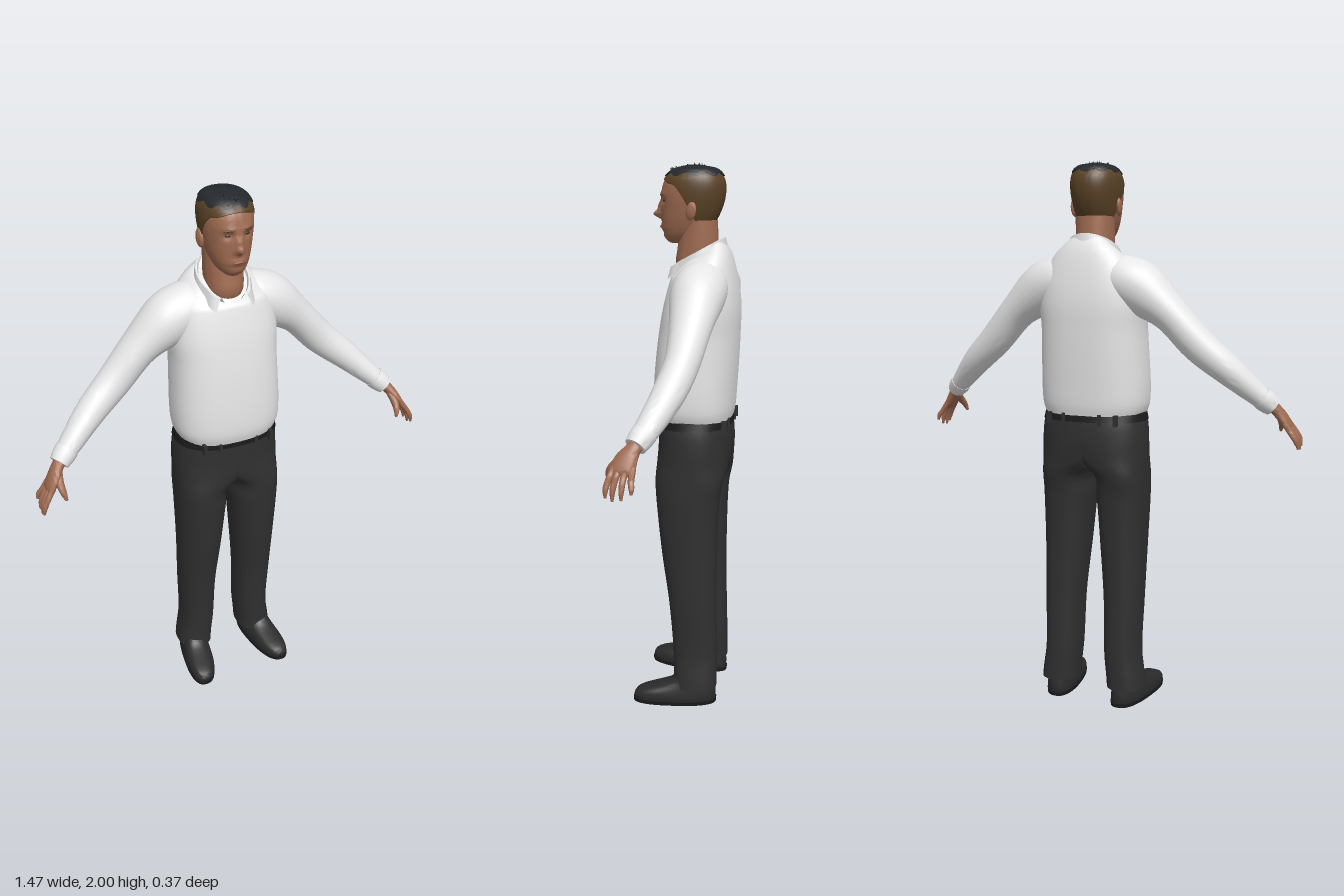
import * as THREE from 'three';
import { toCreasedNormals } from 'three/addons/utils/BufferGeometryUtils.js';

const mat = (name, color, side = THREE.FrontSide) => {
  const m = new THREE.MeshStandardMaterial({ color, side });
  m.name = name;
  return m;
};

// Smooth interpolation of rows of numbers, keyed by their first column
function at(keys, y) {
  let i = 0;
  while (i < keys.length - 2 && y > keys[i + 1][0]) i++;
  const a = keys[i], b = keys[i + 1], p = keys[i - 1] ?? a, n = keys[i + 2] ?? b;
  const h = b[0] - a[0], u = Math.min(1, Math.max(0, (y - a[0]) / h));
  return a.map((v, k) => {
    const m0 = h * (b[k] - p[k]) / (b[0] - p[0]), m1 = h * (n[k] - v) / (n[0] - a[0]);
    const u2 = u * u, u3 = u2 * u;
    return (2 * u3 - 3 * u2 + 1) * v + (u3 - 2 * u2 + u) * m0 + (3 * u2 - 2 * u3) * b[k] + (u3 - u2) * m1;
  });
}

// Skin over rows x cols points given by fn(angle, t); closed lofts get end caps
function skin(rows, cols, fn, closed = true) {
  const pos = [], idx = [];
  const n = closed ? cols : cols + 1;
  for (let i = 0; i <= rows; i++)
    for (let j = 0; j < n; j++) pos.push(...fn((j / cols) * Math.PI * 2, i / rows));
  for (let i = 0; i < rows; i++)
    for (let j = 0; j < cols; j++) {
      const k = (j + 1) % n, a = i * n + j, c = i * n + k;
      idx.push(a, a + n, c, c, a + n, c + n);
    }
  if (closed) for (const row of [0, rows]) {
    const centre = [0, 0, 0], id = pos.length / 3;
    for (let j = 0; j < n; j++) for (let k = 0; k < 3; k++) centre[k] += pos[(row * n + j) * 3 + k] / n;
    pos.push(...centre);
    for (let j = 0; j < n; j++) {
      const a = row * n + j, b = row * n + (j + 1) % n;
      idx.push(id, ...(row ? [b, a] : [a, b]));
    }
  }
  const g = new THREE.BufferGeometry();
  g.setAttribute('position', new THREE.Float32BufferAttribute(pos, 3));
  g.setIndex(idx);
  return g;
}

// Point on a horizontal section: key = [y, centreX, halfWidth, zFront, zBack, tilt]
function section(keys, a, y, power = 2.3) {
  const [h, xc, hw, zf, zb, tilt = 0] = at(keys, y);
  const round = v => Math.sign(v) * Math.abs(v) ** (2 / power);
  const c = Math.cos(a), s = Math.sin(a);
  return [xc + hw * round(c), h - tilt * s, (zf + zb) / 2 + (zf - zb) / 2 * round(s)];
}
function body(keys, rows, power, change = p => p, cols = 40) {
  const y0 = keys[0][0], y1 = keys[keys.length - 1][0];
  return skin(rows, cols, (a, t) => change(section(keys, a, y0 + (y1 - y0) * t, power)));
}

// Tapered limb along points [x, y, z, radius, radius along z]
function limb(points, rows = 24, cols = 20) {
  const keys = points.map((p, i) => [i / (points.length - 1), ...p]);
  const spot = t => new THREE.Vector3(...at(keys, t).slice(1, 4));
  return skin(rows, cols, (a, t) => {
    const [, x, y, z, ru, rv] = at(keys, t);
    const dir = spot(Math.min(1, t + 0.02)).sub(spot(Math.max(0, t - 0.02))).normalize();
    const v = new THREE.Vector3(0, 0, 1).addScaledVector(dir, -dir.z).normalize();
    const u = dir.clone().cross(v);
    return new THREE.Vector3(x, y, z).addScaledVector(u, ru * Math.cos(a)).addScaledVector(v, rv * Math.sin(a)).toArray();
  });
}

function mirrored(g) {
  const m = g.clone().scale(-1, 1, 1), i = m.index.array;
  for (let k = 0; k < i.length; k += 3) [i[k], i[k + 1]] = [i[k + 1], i[k]];
  return m;
}

const blob = (x, y, z, rx, ry, rz) => new THREE.SphereGeometry(1, 16, 12).scale(rx, ry, rz).translate(x, y, z);

export function createModel() {
  const model = new THREE.Group();
  model.name = 'standingMan';
  const knit = mat('white knit', 0xe6e6e6), collarWhite = mat('collar white', 0xdedede, THREE.DoubleSide);
  const cloth = mat('charcoal cloth', 0x303031), leather = mat('shoe leather', 0x2b2b2c);
  const black = mat('black', 0x1b1b1c), skinTone = mat('skin', 0xa06c52);
  const brown = mat('brown hair', 0x5a4226), topHair = mat('dark top hair', 0x24282c);
  const lip = mat('lips', 0x8a5646), eyeDark = mat('eyes', 0x3a2a22);
  const add = (name, g, m, crease = 0.9) => {
    const mesh = new THREE.Mesh(toCreasedNormals(g, crease), m);
    mesh.name = name;
    model.add(mesh);
  };
  const pair = (name, g, m, crease) => {
    add('left' + name, g, m, crease);
    add('right' + name, mirrored(g), m, crease);
  };

  // Sweater body and sleeves
  add('sweater', body([
    [1.095, 0, .183, .112, -.16, 0], [1.13, 0, .196, .121, -.167, 0], [1.2, 0, .2, .122, -.172, 0],
    [1.3, 0, .197, .115, -.178, 0], [1.4, 0, .194, .103, -.182, 0], [1.5, 0, .197, .085, -.183, 0],
    [1.6, 0, .178, .058, -.17, 0], [1.65, 0, .138, .05, -.148, .04], [1.68, 0, .088, .042, -.122, .055],
  ], 40, 2.5), knit);
  pair('Sleeve', limb([
    [.07, 1.59, -.065, .075, .08], [.13, 1.575, -.065, .09, .095], [.2, 1.54, -.063, .093, .093],
    [.3, 1.463, -.062, .066, .073], [.4, 1.357, -.053, .061, .059], [.5, 1.272, -.027, .053, .054],
    [.6, 1.182, .018, .039, .042], [.64, 1.146, .04, .033, .035],
  ], 40, 28), knit);
  pair('Cuff', limb([[.607, 1.176, .022, .04, .043], [.625, 1.16, .032, .04, .041], [.645, 1.142, .043, .034, .036]], 4), knit);

  // Shirt collar folded over, open at the throat, with pointed ends
  add('collar', skin(3, 40, (a, t) => {
    const q = Math.PI / 2 + .35 + a * (1 - .35 / Math.PI), c = Math.cos(q), s = Math.sin(q);
    const out = [0, .35, .6, 1][Math.round(t * 3)], w = Math.max(0, (s - .55) / .4) * out;
    const drop = [.03, 0, 0, .038][Math.round(t * 3)];
    const r = .078 + .024 * out;
    return [r * c + Math.sign(c) * .032 * w, 1.69 - .05 * s - drop - .008 * w, -.033 + (r + .004) * s];
  }, false), collarWhite, .7);

  // Trousers: each half joins the other on the centre line above the crotch
  pair('TrouserLeg', body([
    [.065, .135, .069, .035, -.13], [.1, .132, .068, .032, -.13], [.2, .121, .066, .036, -.13],
    [.4, .12, .071, .052, -.125], [.6, .113, .081, .08, -.125], [.8, .107, .093, .1, -.132],
    [.88, .102, .098, .104, -.147], [.94, .04, .16, .106, -.158], [1, 0, .2, .106, -.165],
    [1.06, 0, .196, .107, -.162], [1.11, 0, .186, .106, -.155],
  ], 50, 2.4, p => [Math.max(0, p[0]), p[1], p[2]]), cloth);
  add('belt', body([[1.075, 0, .196, .111, -.164], [1.102, 0, .19, .11, -.16]], 1, 2.4), black);
  for (const x of [-.13, -.07, .07, .13])
    for (const z of [.098, -.152])
      add('beltLoop', new THREE.BoxGeometry(.012, .04, .02).translate(x, 1.085, z), cloth);

  // Shoes turned slightly outward
  const splay = p => [p[0] + .145 + .12 * p[2] + (p[2] > 0 ? .02 * p[2] : 0), p[1], p[2]];
  pair('Shoe', body([
    [.012, 0, .056, .178, -.125], [.03, 0, .058, .18, -.127], [.05, 0, .055, .16, -.126],
    [.068, 0, .051, .1, -.123], [.085, 0, .048, .05, -.118], [.12, 0, .044, .015, -.112],
  ], 16, 2.5, splay), leather);
  pair('Sole', body([[0, 0, .057, .183, -.129], [.014, 0, .059, .184, -.13]], 1, 2.5, splay), black);

  // Hands: palm, four fingers and a thumb
  pair('Palm', limb([
    [.632, 1.155, .036, .022, .025], [.655, 1.132, .05, .02, .027], [.675, 1.105, .065, .018, .038],
    [.694, 1.075, .075, .014, .04], [.7, 1.062, .077, .008, .034],
  ], 16), skinTone);
  [[.106, .118, .998], [.086, .096, .988], [.065, .068, .992], [.045, .036, 1.012]].forEach(([z0, z1, y], i) =>
    pair('Finger' + (i + 1), limb([
      [.688, 1.085, z0 - .004, .011, .011], [.713, 1.05, (z0 + z1) / 2, .01, .01],
      [.727, (1.05 + y) / 2, z1, .009, .009], [.732, y, z1, .004, .004],
    ], 10, 10), skinTone));
  pair('Thumb', limb([
    [.655, 1.125, .06, .014, .014], [.662, 1.095, .096, .014, .015], [.659, 1.07, .122, .011, .011], [.653, 1.045, .133, .005, .005],
  ], 10, 10), skinTone);

  // Neck and head, with nose, brow and eye sockets pushed out of the surface
  add('neck', body([
    [1.6, 0, .06, .03, -.1], [1.65, 0, .066, .048, -.105], [1.7, 0, .068, .042, -.105], [1.8, 0, .07, .03, -.1],
  ], 12, 2.1), skinTone);
  const headKeys = [
    [1.72, 0, .026, .07, .0], [1.735, 0, .044, .086, -.03], [1.76, 0, .06, .096, -.07], [1.8, 0, .074, .097, -.096],
    [1.84, 0, .082, .097, -.114], [1.88, 0, .087, .099, -.124], [1.92, 0, .087, .093, -.125],
    [1.95, 0, .079, .076, -.114], [1.972, 0, .058, .045, -.088], [1.982, 0, .02, .005, -.04],
  ];
  const bump = (v, c, w) => Math.exp(-(((v - c) / w) ** 2));
  add('head', body(headKeys, 64, 2.15, ([x, y, z]) => {
    if (z < .03) return [x, y, z];
    const ax = Math.abs(x);
    const nose = bump(x, 0, .013) * (.03 * bump(y, 1.818, .014) + .016 * bump(y, 1.845, .022));
    const socket = -.01 * bump(ax, .034, .017) * bump(y, 1.865, .013);
    const mouth = .005 * bump(x, 0, .025) * bump(y, 1.777, .012) - .004 * bump(x, 0, .04) * bump(y, 1.757, .007);
    const brow = .005 * bump(ax, .03, .025) * bump(y, 1.888, .01);
    return [x, y, z + nose + socket + mouth + brow];
  }, 80), skinTone, 1.2);
  pair('Ear', blob(0, 0, 0, .01, .032, .019).rotateX(-.2).rotateY(-.25).translate(.087, 1.832, -.022), skinTone);
  pair('Eye', blob(.033, 1.866, .083, .012, .0045, .004), eyeDark);
  pair('Eyebrow', blob(0, 0, 0, .018, .0035, .004).rotateY(.3).translate(.034, 1.885, .094), brown);
  add('mouth', blob(0, 1.776, .1, .022, .0045, .005), lip);

  // Cropped hair: a shell over the skull with its hairline given by the angle
  const shell = (low, grow) => skin(16, 64, (a, t) => {
    const y0 = low(a), [x, y, z] = section(headKeys, a, y0 + (1.982 - y0) * t, 2.15);
    return [x * grow, y + (grow - 1) * .06, (z + .012) * grow - .012];
  });
  const hairline = [[-1, 1.785], [-.6, 1.785], [-.3, 1.8], [-.05, 1.835], [.15, 1.875], [.45, 1.915], [.75, 1.925], [1, 1.938]];
  add('croppedHair', shell(a => at(hairline, Math.sin(a))[1], 1.035), brown, 1.2);
  add('topHair', shell(a => 1.95 + .006 * Math.sin(a * 9), 1.07), topHair);

  // Tousled tufts on top
  let seed = 7;
  const rnd = () => (seed = (seed * 16807) % 2147483647) / 2147483647;
  for (let i = 0; i < 46; i++) {
    const a = rnd() * Math.PI * 2, r = Math.sqrt(rnd());
    const x = .064 * r * Math.cos(a), z = -.01 + .08 * r * Math.sin(a);
    const tuft = new THREE.ConeGeometry(.012, .034, 4).scale(1, 1, .6).rotateY(rnd() * 3)
      .rotateX(.5 + rnd() * .7 * (z > 0 ? 1 : -1)).rotateZ(-x * 12 + rnd() - .5);
    add('hairTuft', tuft.translate(x, 1.983 - .028 * r * r, z), topHair, .3);
  }
  return model;
}
